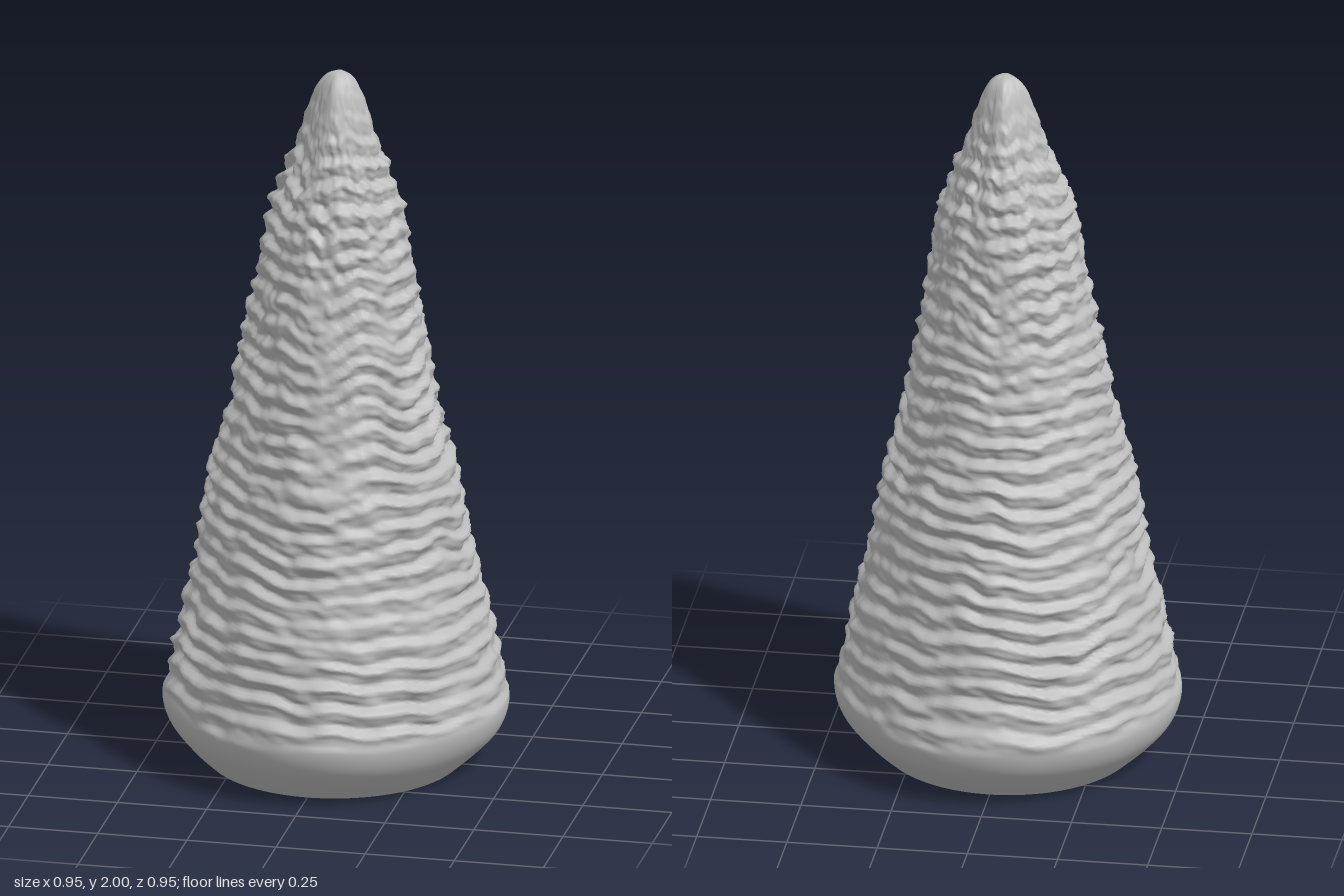
import * as THREE from 'three';
import { mergeVertices, toCreasedNormals } from 'three/addons/utils/BufferGeometryUtils.js';

const stone = new THREE.MeshStandardMaterial({ color: 0xbcbcbc });
stone.name = 'pale grey stone';

// Seeded value noise in 3D, from -1 to 1
function hash(x, y, z) {
  let h = (Math.imul(x, 374761393) + Math.imul(y, 668265263) + Math.imul(z, 1274126177)) | 0;
  h = Math.imul(h ^ (h >>> 13), 1103515245);
  return ((h ^ (h >>> 16)) >>> 0) / 2147483648 - 1;
}

function noise(x, y, z) {
  const i = [x, y, z].map(Math.floor);
  const [u, v, w] = [x - i[0], y - i[1], z - i[2]].map((t) => t * t * (3 - 2 * t));
  let sum = 0;
  for (let c = 0; c < 8; c++) {
    const a = c & 1, b = (c >> 1) & 1, d = c >> 2;
    sum += hash(i[0] + a, i[1] + b, i[2] + d) * (a ? u : 1 - u) * (b ? v : 1 - v) * (d ? w : 1 - w);
  }
  return sum;
}

// Tapered body with wavy, uneven growth rings
function bodyGeometry() {
  const profile = new THREE.SplineCurve([
    [0.35, 0], [0.41, 0.055], [0.456, 0.11], [0.474, 0.17], [0.462, 0.22], [0.44, 0.3],
    [0.415, 0.42], [0.372, 0.6], [0.338, 0.8], [0.288, 1], [0.25, 1.2], [0.21, 1.4],
    [0.175, 1.6], [0.14, 1.7], [0.105, 1.8], [0.075, 1.9], [0.05, 1.965], [0.025, 1.994], [0, 2],
  ].map(([r, y]) => new THREE.Vector2(r, y)));
  const geo = new THREE.LatheGeometry(profile.getSpacedPoints(280), 160);
  const pos = geo.attributes.position;

  for (let i = 0; i < pos.count; i++) {
    const x = pos.getX(i), y = pos.getY(i), z = pos.getZ(i);
    const r = Math.hypot(x, z);
    if (r < 1e-5) {
      pos.setXYZ(i, 0.012, y, 0.01);
      continue;
    }
    const c = x / r, s = z / r;
    // Rings fade out over the smooth foot and at the tip
    const lip = 0.18 + 0.015 * noise(c * 2 + 9, 4, s * 2);
    const rough = THREE.MathUtils.smoothstep(y, lip - 0.01, lip + 0.03)
      * (1 - 0.8 * THREE.MathUtils.smoothstep(y, 1.7, 1.97));
    const foot = THREE.MathUtils.smoothstep(y, 0, 0.12);
    const phase = Math.PI * 2 * (y / 0.062
      + 0.55 * noise(c * 2 + 5, y * 3, s * 2) + 0.25 * noise(c * 5, y * 7, s * 5 + 3));
    const ring = Math.sin(phase) - 0.35 * Math.sin(2 * phase);
    const strength = 0.0068 + 0.005 * noise(c * 3, y * 6 + 20, s * 3);
    const grain = 0.008 * noise(c * 7, y * 34, s * 7) + 0.004 * noise(c * 16, y * 60, s * 16);
    const lumps = 0.009 * noise(c * 2.2 + 3, y * 2.5, s * 2.2) + 0.005 * Math.cos(4 * Math.atan2(s, c));
    const size = Math.min(1, r / 0.12);
    const k = r + size * (foot * lumps + rough * (ring * strength + grain));
    // The axis leans slightly toward the tip
    const lean = (y / 2) ** 2;
    pos.setXYZ(i, c * k + 0.012 * lean, y, s * k + 0.01 * lean);
  }

  // Weld the seam so the surface shades smoothly all round
  geo.deleteAttribute('normal');
  geo.deleteAttribute('uv');
  const welded = mergeVertices(geo, 1e-5);
  welded.computeVertexNormals();
  return welded;
}

// Flat underside with a stepped round socket
function undersideGeometry() {
  const points = [[0, 0.5], [0.2, 0.14], [0.222, 0.13], [0.222, 0], [0.35, 0]]
    .map(([r, y]) => new THREE.Vector2(r, y));
  return toCreasedNormals(new THREE.LatheGeometry(points, 160), 0.5);
}

export function createModel() {
  const model = new THREE.Group();
  model.name = 'ridgedSpike';
  const parts = { ringedBody: bodyGeometry(), undersideSocket: undersideGeometry() };
  for (const [name, geometry] of Object.entries(parts)) {
    const mesh = new THREE.Mesh(geometry, stone);
    mesh.name = name;
    model.add(mesh);
  }
  return model;
}
